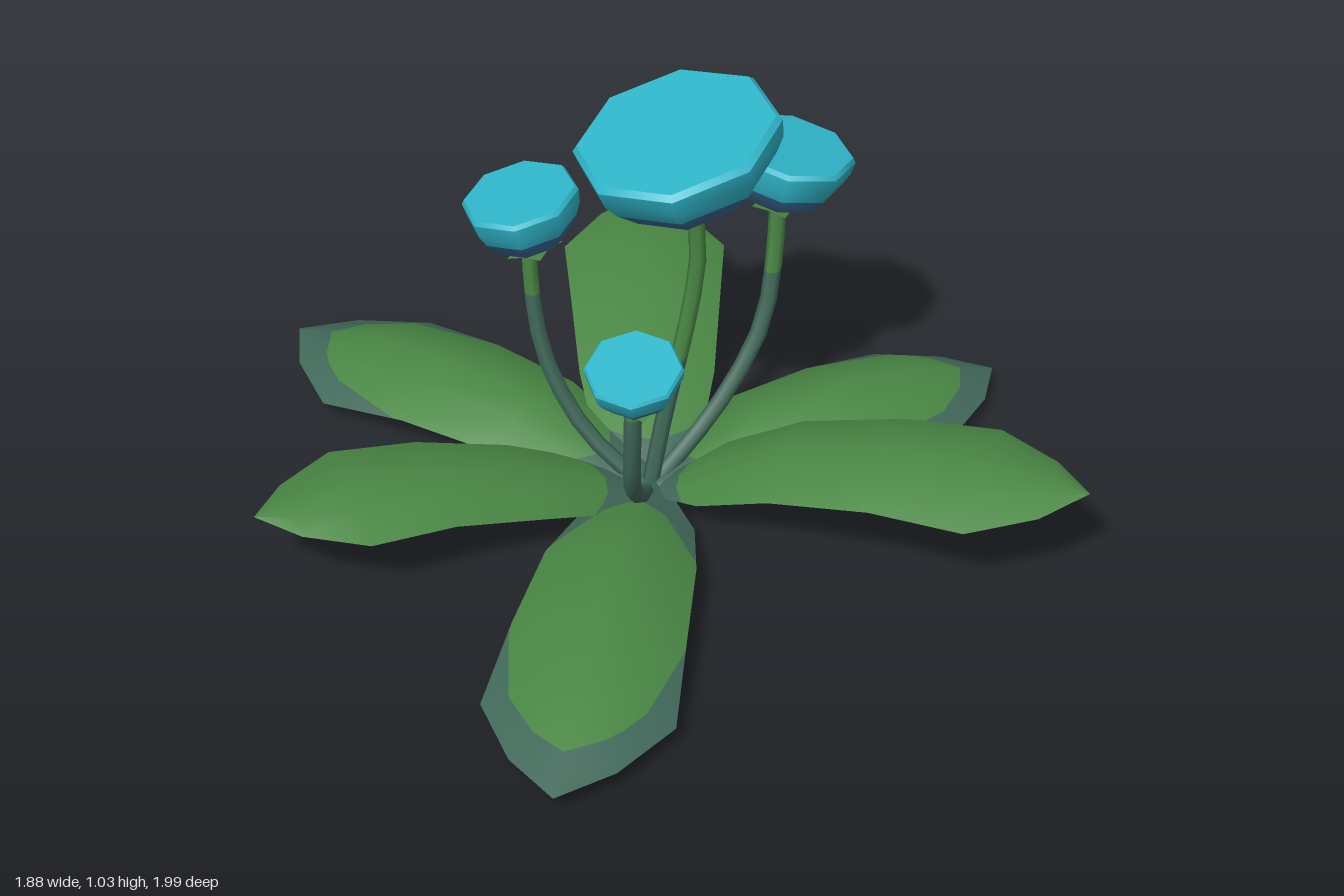
import * as THREE from 'three';

const mat = (name, color, side = THREE.DoubleSide) => {
  const m = new THREE.MeshStandardMaterial({ color, side });
  m.name = name;
  return m;
};

// Cuts a geometry at a height: group 0 lies below, group 1 above.
function splitByHeight(source, h) {
  const geo = source.index ? source.toNonIndexed() : source;
  const P = geo.attributes.position, N = geo.attributes.normal;
  const out = [[], []];
  const vertex = i => ({
    p: new THREE.Vector3().fromBufferAttribute(P, i),
    n: new THREE.Vector3().fromBufferAttribute(N, i),
  });
  for (let i = 0; i < P.count; i += 3) {
    const tri = [vertex(i), vertex(i + 1), vertex(i + 2)];
    [-1, 1].forEach((sign, k) => {
      const poly = [];
      tri.forEach((a, j) => {
        const b = tri[(j + 1) % 3];
        const da = (a.p.y - h) * sign, db = (b.p.y - h) * sign;
        if (da >= 0) poly.push(a);
        if (da * db < 0) {
          const t = da / (da - db);
          poly.push({ p: a.p.clone().lerp(b.p, t), n: a.n.clone().lerp(b.n, t).normalize() });
        }
      });
      for (let j = 1; j + 1 < poly.length; j++) out[k].push(poly[0], poly[j], poly[j + 1]);
    });
  }
  const all = [...out[0], ...out[1]];
  const res = new THREE.BufferGeometry();
  res.setAttribute('position', new THREE.Float32BufferAttribute(all.flatMap(v => v.p.toArray()), 3));
  res.setAttribute('normal', new THREE.Float32BufferAttribute(all.flatMap(v => v.n.toArray()), 3));
  res.addGroup(0, out[0].length, 0);
  res.addGroup(out[0].length, out[1].length, 1);
  return res;
}

// Arched leaf running from the centre to its tip; heights are the midrib at each ring.
const RINGS = [0, 0.15, 0.32, 0.55, 0.765, 0.91, 1];
const WIDTHS = [0.03, 0.125, 0.158, 0.178, 0.195, 0.106, 0.001];
function leafGeometry(tipX, tipZ, heights, droop, floor) {
  const L = Math.hypot(tipX, tipZ), dx = tipX / L, dz = tipZ / L;
  const pos = [], idx = [], across = 4;
  RINGS.forEach((t, i) => {
    for (let j = 0; j <= across; j++) {
      const s = (j / across) * 2 - 1, w = s * WIDTHS[i] * L;
      const drop = droop * s * s * (WIDTHS[i] / 0.195);
      pos.push(dx * t * L - dz * w, Math.max(floor, heights[i] - drop), dz * t * L + dx * w);
      if (i && j) {
        const a = (i - 1) * (across + 1) + j - 1, b = a + across + 1;
        idx.push(a, a + 1, b, a + 1, b + 1, b);
      }
    }
  });
  const g = new THREE.BufferGeometry();
  g.setAttribute('position', new THREE.Float32BufferAttribute(pos, 3));
  g.setIndex(idx);
  g.computeVertexNormals();
  return g;
}

export function createModel() {
  const green = mat('leaf green', 0x4a8744);
  const darkGreen = mat('dark leaf green', 0x41695a);
  const cyan = mat('petal cyan', 0x2fb6ca);
  const blue = mat('bowl blue', 0x3b6a96);
  const model = new THREE.Group();
  model.name = 'flowerPlant';

  const add = (parent, name, geo, material) => {
    const m = new THREE.Mesh(geo, material);
    m.name = name;
    parent.add(m);
    return m;
  };

  // Three drooping leaves with dark tips and three raised ones
  const low = [0.02, 0.085, 0.14, 0.145, 0.115, 0.07, 0.04];
  const raised = [0.02, 0.09, 0.15, 0.205, 0.22, 0.2, 0.18];
  const high = [0.02, 0.13, 0.215, 0.265, 0.275, 0.258, 0.24];
  const leaves = [
    [-0.68, -0.83, low, 0.075], [-0.48, 0.99, low, 0.075], [0.935, -0.21, low, 0.075],
    [0.26, -1.0, raised, 0.045], [-0.94, 0.07, raised, 0.045], [0.87, 0.56, high, 0.055],
  ];
  leaves.forEach(([x, z, heights, droop], i) => {
    const g = leafGeometry(x, z, heights, droop, heights === low ? 0.04 : 0.02);
    add(model, 'leaf' + (i + 1), splitByHeight(g, 0.073), [darkGreen, green]);
  });

  // Flowers: stem path, stem colour height, head centre, facing, radius, depth
  const flowers = [
    { name: 'largeFlower', path: [[0, 0.01, 0], [0.045, 0.22, -0.02], [0.1, 0.45, -0.035], [0.125, 0.64, -0.035], [0.11, 0.8, -0.035]],
      change: 0.36, at: [0.07, 0.97, -0.03], up: [-0.24, 0.97, 0.03], r: 0.238, d: 0.19 },
    { name: 'rightFlower', path: [[0, 0.01, 0], [0.19, 0.19, -0.06], [0.3, 0.36, -0.1], [0.335, 0.52, -0.125], [0.345, 0.7, -0.135]],
      change: 0.5, at: [0.372, 0.818, -0.14], up: [0.2, 0.97, 0], r: 0.154, d: 0.15 },
    { name: 'leftFlower', path: [[0, 0.01, 0], [-0.13, 0.15, -0.09], [-0.205, 0.32, -0.15], [-0.228, 0.48, -0.18], [-0.232, 0.64, -0.19]],
      change: 0.5, at: [-0.247, 0.752, -0.208], up: [-0.19, 0.97, -0.02], r: 0.136, d: 0.145 },
    { name: 'frontFlower', path: [[0, 0.01, 0], [-0.07, 0.13, 0.16], [-0.112, 0.25, 0.265], [-0.122, 0.4, 0.305], [-0.122, 0.54, 0.315]],
      change: 0.47, at: [-0.126, 0.618, 0.332], up: [-0.12, 0.95, 0.24], r: 0.11, d: 0.11 },
  ];

  for (const f of flowers) {
    const flower = new THREE.Group();
    flower.name = f.name;
    model.add(flower);

    // Bent stem, dark towards the root
    const curve = new THREE.CatmullRomCurve3(f.path.map(p => new THREE.Vector3(...p)));
    const tube = new THREE.TubeGeometry(curve, 9, 0.02, 6);
    add(flower, 'stem', splitByHeight(tube, f.change), [darkGreen, green]);

    // Eight-sided bowl: blue below, cyan above, closed by a flat bevelled face
    const head = new THREE.Group();
    head.name = 'head';
    head.position.set(...f.at);
    head.quaternion.setFromUnitVectors(new THREE.Vector3(0, 1, 0), new THREE.Vector3(...f.up).normalize());
    flower.add(head);
    const lathe = (name, pts, material) => {
      const g = new THREE.LatheGeometry(pts.map(([x, y]) => new THREE.Vector2(x * f.r, y * f.d)), 8);
      add(head, name, g, material).rotation.y = Math.PI / 8 + 0.06;
    };
    lathe('lowerBowl', [[0, -1], [0.32, -0.98], [0.68, -0.78], [0.87, -0.5]], blue);
    lathe('upperBowl', [[0.87, -0.5], [0.97, -0.28], [1, -0.05]], cyan);
    lathe('rimBevel', [[1, -0.05], [0.95, 0.02]], cyan);
    lathe('flowerFace', [[0.95, 0.02], [0, 0.02]], cyan);

    // Small pointed sepals under the bowl
    for (let i = 0; i < 5; i++) {
      const shape = new THREE.Shape([[-0.02, 0], [0.02, 0], [0.024, 0.035], [0, 0.07], [-0.024, 0.035]]
        .map(([x, y]) => new THREE.Vector2(x, y)));
      const g = new THREE.ShapeGeometry(shape).rotateX(Math.PI / 2 - 0.12);
      const sepal = add(head, 'sepal', g, green);
      sepal.position.y = -f.d - 0.008;
      sepal.rotation.y = (i / 5) * Math.PI * 2;
    }
  }
  return model;
}
